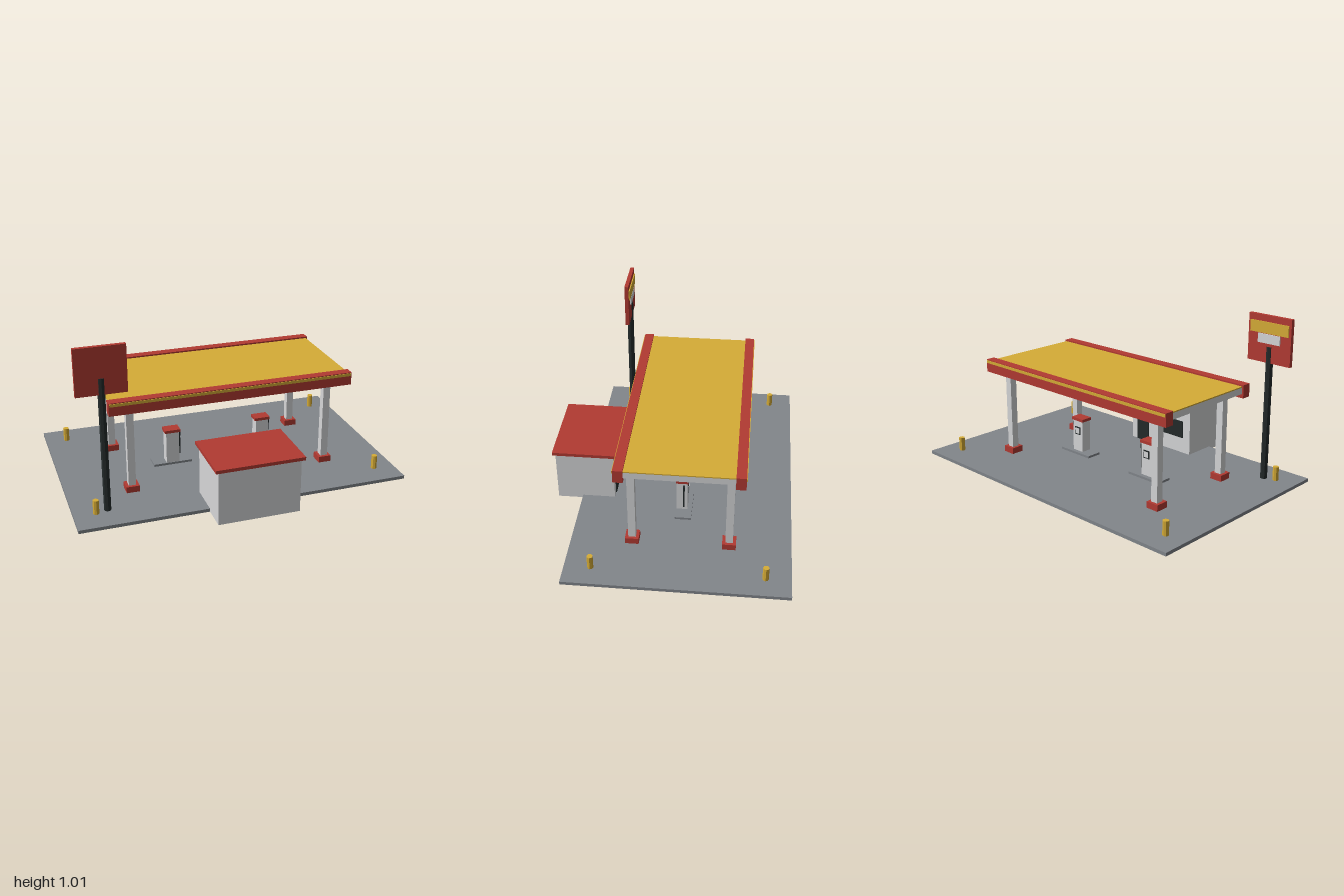
import * as THREE from 'three';

const mat = (name, color) => {
  const m = new THREE.MeshStandardMaterial({ color });
  m.name = name;
  return m;
};

export function createModel() {
  const red = mat('red', 0xb23a32);
  const yellow = mat('yellow', 0xd6ac36);
  const white = mat('offWhite', 0xd6d7d8);
  const grey = mat('concreteGrey', 0x82868b);
  const dark = mat('charcoal', 0x232a2a);

  const station = new THREE.Group();
  station.name = 'fuelStation';

  const group = (name, x = 0, y = 0, z = 0) => {
    const g = new THREE.Group();
    g.name = name;
    g.position.set(x, y, z);
    station.add(g);
    return g;
  };
  // Box given by its extents on each axis
  const box = (parent, name, material, [x0, x1], [y0, y1], [z0, z1]) => {
    const m = new THREE.Mesh(new THREE.BoxGeometry(x1 - x0, y1 - y0, z1 - z0), material);
    m.position.set((x0 + x1) / 2, (y0 + y1) / 2, (z0 + z1) / 2);
    m.name = name;
    parent.add(m);
    return m;
  };
  // Upright faceted post
  const post = (parent, name, material, r, x, y0, y1, z) => {
    const geo = new THREE.CylinderGeometry(r, r, y1 - y0, 8).toNonIndexed();
    geo.computeVertexNormals();
    const m = new THREE.Mesh(geo, material);
    m.position.set(x, (y0 + y1) / 2, z);
    m.name = name;
    parent.add(m);
  };

  // Ground slab
  box(station, 'forecourt', grey, [-1, 1], [0, 0.02], [-0.73, 0.56]);

  // Canopy: slab, painted top, edge beams with stripes, ceiling lamps
  const canopy = group('canopy');
  box(canopy, 'canopySlab', white, [-0.735, 0.735], [0.57, 0.608], [-0.395, 0.222]);
  box(canopy, 'canopyTop', yellow, [-0.735, 0.735], [0.608, 0.615], [-0.395, 0.222]);
  box(canopy, 'frontFascia', red, [-0.745, 0.745], [0.545, 0.624], [0.222, 0.279]);
  box(canopy, 'backFascia', red, [-0.745, 0.745], [0.545, 0.624], [-0.45, -0.393]);
  box(canopy, 'frontStripe', yellow, [-0.74, 0.74], [0.602, 0.619], [0.279, 0.283]);
  box(canopy, 'backStripe', yellow, [-0.74, 0.74], [0.602, 0.619], [-0.454, -0.45]);
  for (const x of [-0.41, 0, 0.41]) {
    box(canopy, 'ceilingLamp', white, [x - 0.12, x + 0.12], [0.565, 0.57], [-0.1, -0.07]);
  }

  // Columns on red footings
  for (const x of [-0.615, 0.615]) {
    for (const z of [0.199, -0.367]) {
      const column = group('column', x, 0, z);
      box(column, 'columnShaft', white, [-0.022, 0.022], [0.058, 0.57], [-0.022, 0.022]);
      box(column, 'columnFooting', red, [-0.04, 0.04], [0.02, 0.058], [-0.04, 0.04]);
    }
  }

  // Pumps on their islands
  for (const x of [-0.295, 0.295]) {
    const pump = group('pump', x, 0, -0.067);
    box(pump, 'pumpIsland', grey, [-0.122, 0.122], [0.02, 0.034], [-0.06, 0.037]);
    box(pump, 'pumpBody', white, [-0.041, 0.041], [0.034, 0.235], [-0.033, 0.033]);
    box(pump, 'pumpCap', red, [-0.049, 0.049], [0.235, 0.253], [-0.037, 0.037]);
    box(pump, 'screenFrame', dark, [-0.023, 0.023], [0.145, 0.195], [-0.037, -0.033]);
    box(pump, 'screen', white, [-0.017, 0.017], [0.152, 0.188], [-0.04, -0.037]);
    box(pump, 'nozzle', dark, [0.041, 0.062], [0.19, 0.218], [-0.018, -0.006]);
    box(pump, 'hose', dark, [0.051, 0.06], [0.065, 0.19], [-0.016, -0.008]);
  }

  // Kiosk with door, window and sign band facing the pumps
  const kiosk = group('kiosk');
  box(kiosk, 'kioskWalls', white, [-0.245, 0.245], [0, 0.33], [0.36, 0.714]);
  box(kiosk, 'kioskRoof', red, [-0.264, 0.264], [0.33, 0.35], [0.344, 0.73]);
  box(kiosk, 'kioskDoor', dark, [0.1, 0.2], [0.021, 0.23], [0.354, 0.36]);
  box(kiosk, 'kioskWindow', dark, [-0.19, 0.04], [0.12, 0.23], [0.355, 0.36]);
  box(kiosk, 'kioskSignBand', red, [-0.17, 0.17], [0.26, 0.323], [0.352, 0.36]);

  // Roadside sign
  const sign = group('roadSign', -0.8, 0, 0.386);
  post(sign, 'signPost', dark, 0.021, 0, 0.02, 0.83, 0);
  box(sign, 'signBoard', red, [-0.145, 0.145], [0.735, 1.012], [-0.012, 0.012]);
  box(sign, 'signYellowPanel', yellow, [-0.13, 0.13], [0.908, 0.975], [-0.019, -0.012]);
  box(sign, 'signWhitePanel', white, [-0.075, 0.075], [0.85, 0.904], [-0.019, -0.012]);

  // Corner bollards
  for (const x of [-0.87, 0.87]) {
    for (const z of [0.407, -0.583]) post(station, 'bollard', yellow, 0.018, x, 0.02, 0.105, z);
  }

  return station;
}
